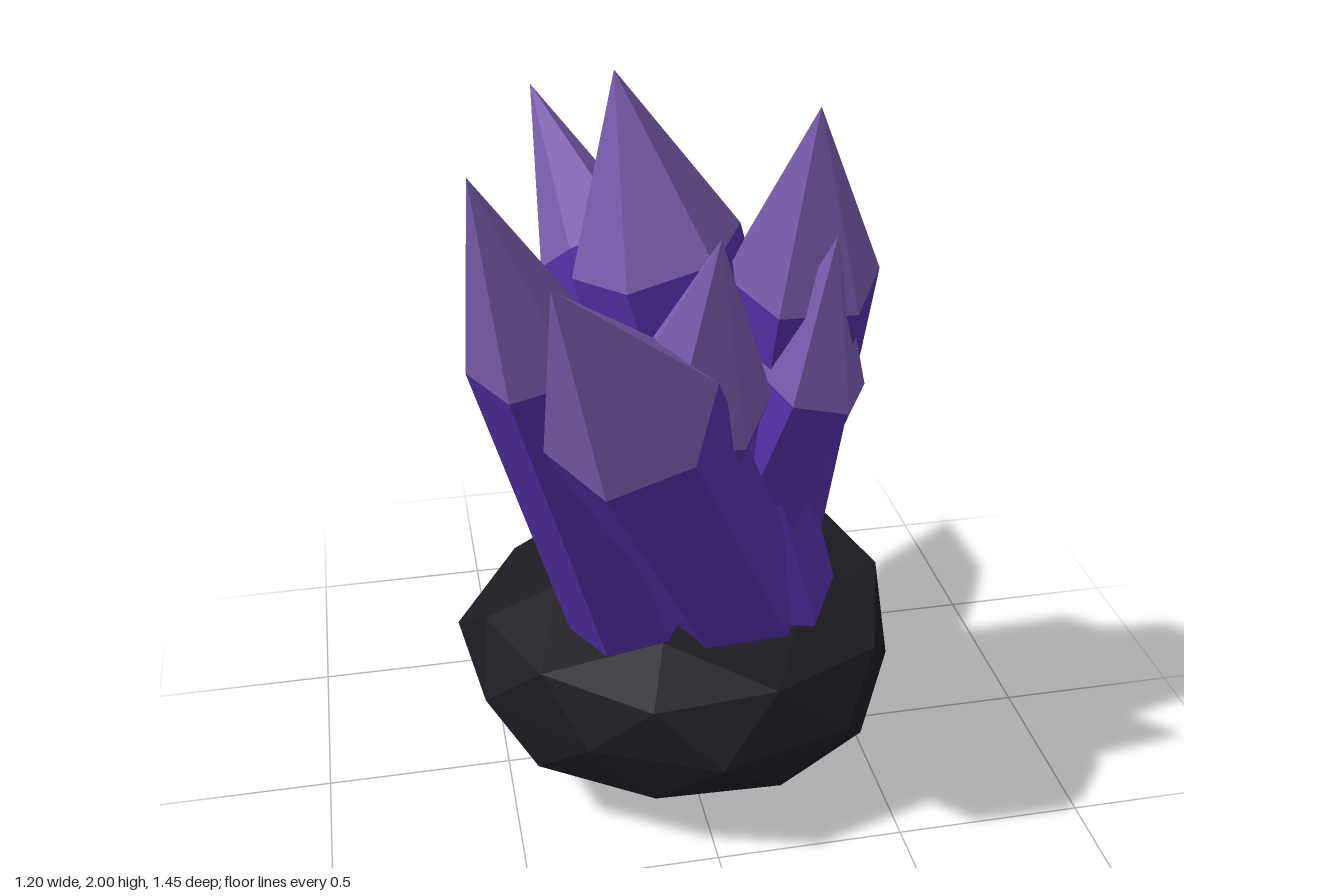
import * as THREE from 'three';

const bodyMat = new THREE.MeshStandardMaterial({ color: 0x5632ac, flatShading: true });
const tipMat = new THREE.MeshStandardMaterial({ color: 0x7c5eb2, flatShading: true });
const rockMat = new THREE.MeshStandardMaterial({ color: 0x1d1b23, flatShading: true });

// Six-sided prism from base to shoulder, with a pointed cap reaching the tip
function crystal(name, base, shoulder, tip, r0, r1) {
  const b = new THREE.Vector3(...base);
  const s = new THREE.Vector3(...shoulder);
  const axis = s.clone().sub(b);
  const length = axis.length();
  const group = new THREE.Group();
  group.name = name;
  group.position.copy(b);
  group.quaternion.setFromUnitVectors(new THREE.Vector3(0, 1, 0), axis.normalize());

  const prism = new THREE.CylinderGeometry(r1, r0, length, 6).rotateY(Math.PI / 2);
  prism.translate(0, length / 2, 0);
  const body = new THREE.Mesh(prism, bodyMat);
  body.name = name + 'Body';
  group.add(body);

  // The apex sits slightly off the axis
  const apex = new THREE.Vector3(...tip).sub(b).applyQuaternion(group.quaternion.clone().invert());
  const cone = new THREE.ConeGeometry(r1, 1, 6, 1, true).rotateY(Math.PI / 2);
  const p = cone.attributes.position;
  for (let i = 0; i < p.count; i++) {
    if (p.getY(i) > 0) p.setXYZ(i, apex.x, apex.y, apex.z);
    else p.setY(i, length);
  }
  cone.computeVertexNormals();
  const cap = new THREE.Mesh(cone, tipMat);
  cap.name = name + 'Tip';
  group.add(cap);
  return group;
}

// Faceted boulder: a coarse icosphere, flattened and given an uneven outline
function rock() {
  // Outline radius every 18 degrees, starting at the back and turning through +x
  const radii = [
    0.6, 0.66, 0.62, 0.62, 0.58, 0.65, 0.58, 0.63, 0.6, 0.6,
    0.59, 0.58, 0.55, 0.6, 0.59, 0.59, 0.635, 0.6, 0.59, 0.62,
  ];
  const g = new THREE.IcosahedronGeometry(1, 1);
  // Stand a corner of the icosahedron upright
  g.rotateZ(-Math.atan(2 / (1 + Math.sqrt(5)))).rotateY(Math.PI);
  const p = g.attributes.position;
  for (let i = 0; i < p.count; i++) {
    const x = p.getX(i), y = p.getY(i), z = p.getZ(i);
    const angle = THREE.MathUtils.radToDeg(Math.atan2(z, x));
    const t = (angle + 450) % 360 / 18;
    const k = Math.floor(t);
    const outline = THREE.MathUtils.lerp(radii[k % 20], radii[(k + 1) % 20], t - k);
    const r = outline * Math.pow(Math.hypot(x, z), 0.85);
    // Flat on top, pointed underneath
    const height = y > 0 ? 0.37 * y - 0.13 * y * y : 0.29 * y - 0.04 * y ** 8;
    // One side of the upper half bulges upward
    const lift = y > -0.1 && y < 0.7 ? 0.11 * Math.exp(-(((angle + 25) / 20) ** 2)) : 0;
    const a = THREE.MathUtils.degToRad(angle);
    p.setXYZ(i, r * Math.cos(a), 0.33 + height + lift, -0.04 + r * Math.sin(a));
  }
  g.computeVertexNormals();
  const mesh = new THREE.Mesh(g, rockMat);
  mesh.name = 'rockBase';
  return mesh;
}

export function createModel() {
  const model = new THREE.Group();
  model.name = 'crystalCluster';
  model.add(rock());

  // name, base centre, shoulder centre, tip, base radius, shoulder radius
  const crystals = [
    ['centreCrystal', [0.21, 0.5, 0.065], [-0.075, 1.55, 0.06], [-0.17, 2, 0.06], 0.21, 0.215],
    ['leftCrystal', [0.24, 0.5, -0.165], [0.27, 1.5, 0.14], [0.26, 1.955, 0.28], 0.19, 0.195],
    ['rightCrystal', [-0.155, 0.5, 0.12], [-0.415, 1.47, 0.4], [-0.55, 1.94, 0.545], 0.16, 0.16],
    ['frontCrystal', [0.14, 0.52, 0.09], [-0.22, 1.35, 0.525], [-0.41, 1.76, 0.725], 0.2, 0.21],
    ['backCrystal', [0.16, 0.5, 0.06], [-0.145, 1.355, -0.475], [-0.28, 1.74, -0.73], 0.16, 0.162],
    ['middleCrystal', [-0.13, 0.5, -0.09], [-0.035, 1.31, 0.365], [-0.02, 1.76, 0.53], 0.185, 0.18],
    ['smallCrystal', [0.08, 0.5, 0], [0.28, 1.25, 0.21], [0.3, 1.66, 0.32], 0.145, 0.147],
  ];
  for (const c of crystals) model.add(crystal(...c));
  return model;
}
